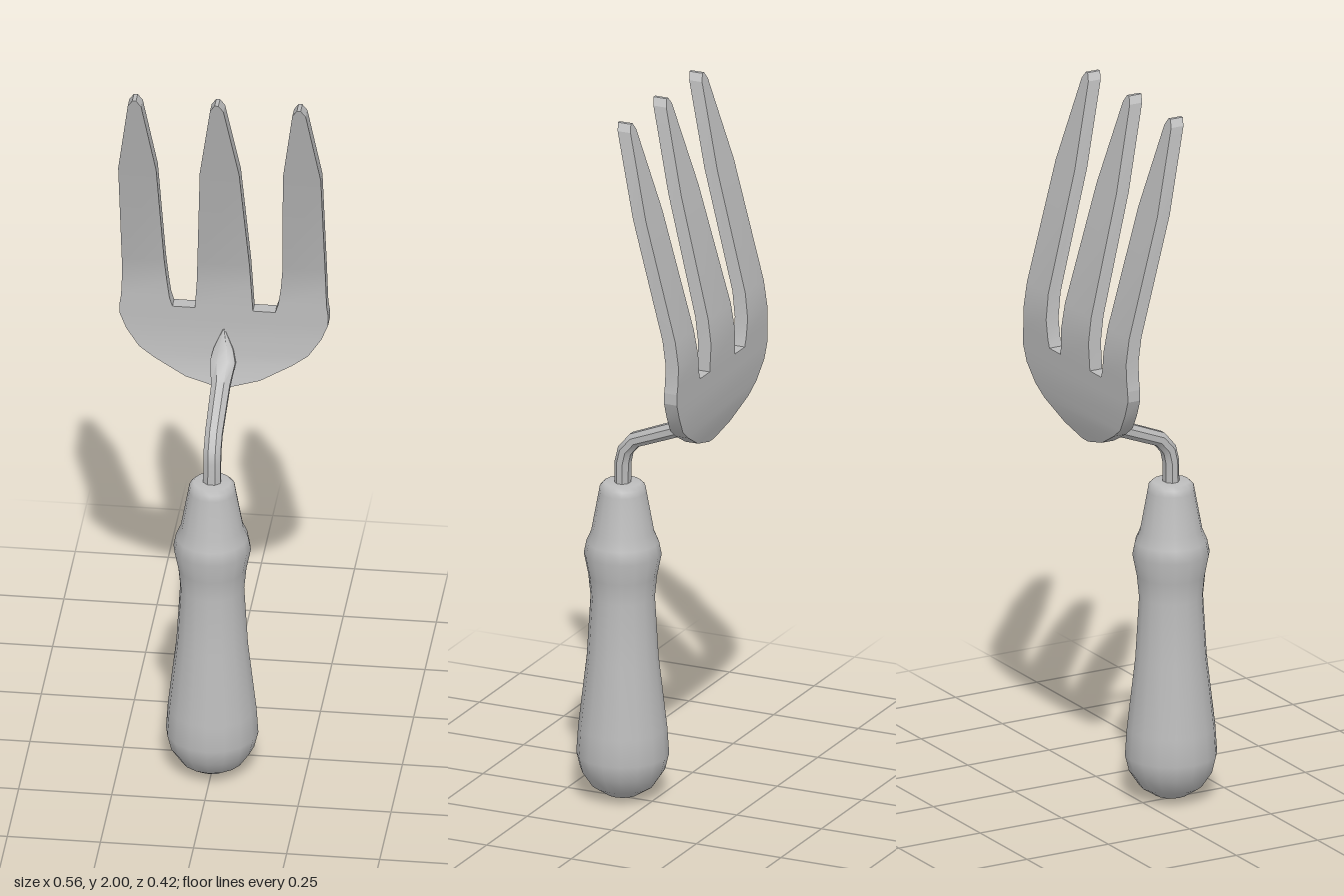
import * as THREE from 'three';
import { toCreasedNormals } from 'three/addons/utils/BufferGeometryUtils.js';

const THICKNESS = 0.038;

// Skin a series of rings (counter-clockwise seen from the end) and cap both ends.
function loft(rings, crease) {
  const n = rings[0].length;
  const index = [];
  for (let r = 0; r < rings.length - 1; r++) {
    for (let i = 0; i < n; i++) {
      const j = (i + 1) % n;
      const a = r * n + i, b = r * n + j, c = a + n, d = b + n;
      index.push(a, b, d, a, d, c);
    }
  }
  const last = (rings.length - 1) * n;
  for (let i = 1; i < n - 1; i++) {
    index.push(0, i + 1, i);
    index.push(last, last + i, last + i + 1);
  }
  const geometry = new THREE.BufferGeometry();
  geometry.setAttribute('position', new THREE.Float32BufferAttribute(rings.flat(2), 3));
  geometry.setIndex(index);
  return toCreasedNormals(geometry, crease);
}

// Front surface of the curved blade: [height, z]
const BEND = [[1.05, -0.138], [1.12, -0.158], [1.2, -0.168], [1.35, -0.171], [1.42, -0.161], [2, -0.007]];
function frontZ(y) {
  for (let i = 1; i < BEND.length; i++) {
    const [y0, z0] = BEND[i - 1], [y1, z1] = BEND[i];
    if (y <= y1) return z0 + (z1 - z0) * (y - y0) / (y1 - y0);
  }
  return BEND[BEND.length - 1][1];
}

// Slab following the bend, from rows of [height, left x, right x]
function bladePart(rows) {
  return loft(rows.map(([y, x0, x1]) => {
    const f = frontZ(y), b = f - THICKNESS;
    return [[x1, y, f], [x1, y, b], [x0, y, b], [x0, y, f]];
  }), 0.35);
}

export function createModel() {
  const model = new THREE.Group();
  const grey = new THREE.MeshStandardMaterial({ color: 0xbcbcbc });
  grey.name = 'grey';
  const add = (name, geometry) => {
    const mesh = new THREE.Mesh(geometry, grey);
    mesh.name = name;
    model.add(mesh);
    return mesh;
  };

  // Turned handle
  const profile = [
    [0, 0], [0.045, 0.012], [0.085, 0.038], [0.113, 0.08], [0.124, 0.125], [0.119, 0.2],
    [0.096, 0.4], [0.086, 0.57], [0.092, 0.63], [0.104, 0.69], [0.097, 0.725], [0.084, 0.755],
    [0.064, 0.865], [0.061, 0.882], [0.05, 0.893], [0, 0.893],
  ].map(([r, y]) => new THREE.Vector2(r, y));
  add('handle', new THREE.LatheGeometry(profile, 16)).position.z = 0.087;

  // Bent neck ending in a point on the blade: [height, z, lean, half width, half depth]
  const neck = [
    [0.87, 0.087, 0, 0.025, 0.022],
    [0.95, 0.086, 0.15, 0.025, 0.022],
    [0.985, 0.078, 0.45, 0.025, 0.022],
    [1.018, 0.05, 0.95, 0.025, 0.022],
    [1.078, -0.1, 1.05, 0.027, 0.023],
    [1.125, -0.148, 0.45, 0.037, 0.024],
    [1.16, -0.162, 0.15, 0.028, 0.016],
    [1.215, -0.171, 0, 0.002, 0.004],
  ].map(([y, z, lean, w, d]) => Array.from({ length: 8 }, (_, i) => {
    const t = (i + 0.5) * Math.PI / 4;
    const v = Math.sin(t) * d;
    return [Math.cos(t) * w, y - v * Math.sin(lean), z - v * Math.cos(lean)];
  }));
  add('neck', loft(neck, 0.6));

  // Rounded palm of the fork
  const palm = [
    [1.052, 0.015], [1.075, 0.1], [1.12, 0.185], [1.15, 0.227],
    [1.2, 0.262], [1.245, 0.28], [1.275, 0.28],
  ].map(([y, w]) => [y, -w, w]);
  add('palm', bladePart(palm));

  // Three tines
  add('centreTine', bladePart([
    [1.275, 0.078], [1.35, 0.073], [1.42, 0.07], [1.75, 0.053], [1.98, 0.018], [2, 0.005],
  ].map(([y, w]) => [y, -w, w])));

  const outer = [
    [1.275, 0.138, 0.28], [1.3, 0.146, 0.276], [1.35, 0.153, 0.274], [1.42, 0.159, 0.273],
    [1.75, 0.17, 0.272], [1.98, 0.203, 0.239], [2, 0.216, 0.226],
  ];
  add('leftTine', bladePart(outer));
  add('rightTine', bladePart(outer.map(([y, a, b]) => [y, -b, -a])));

  return model;
}
